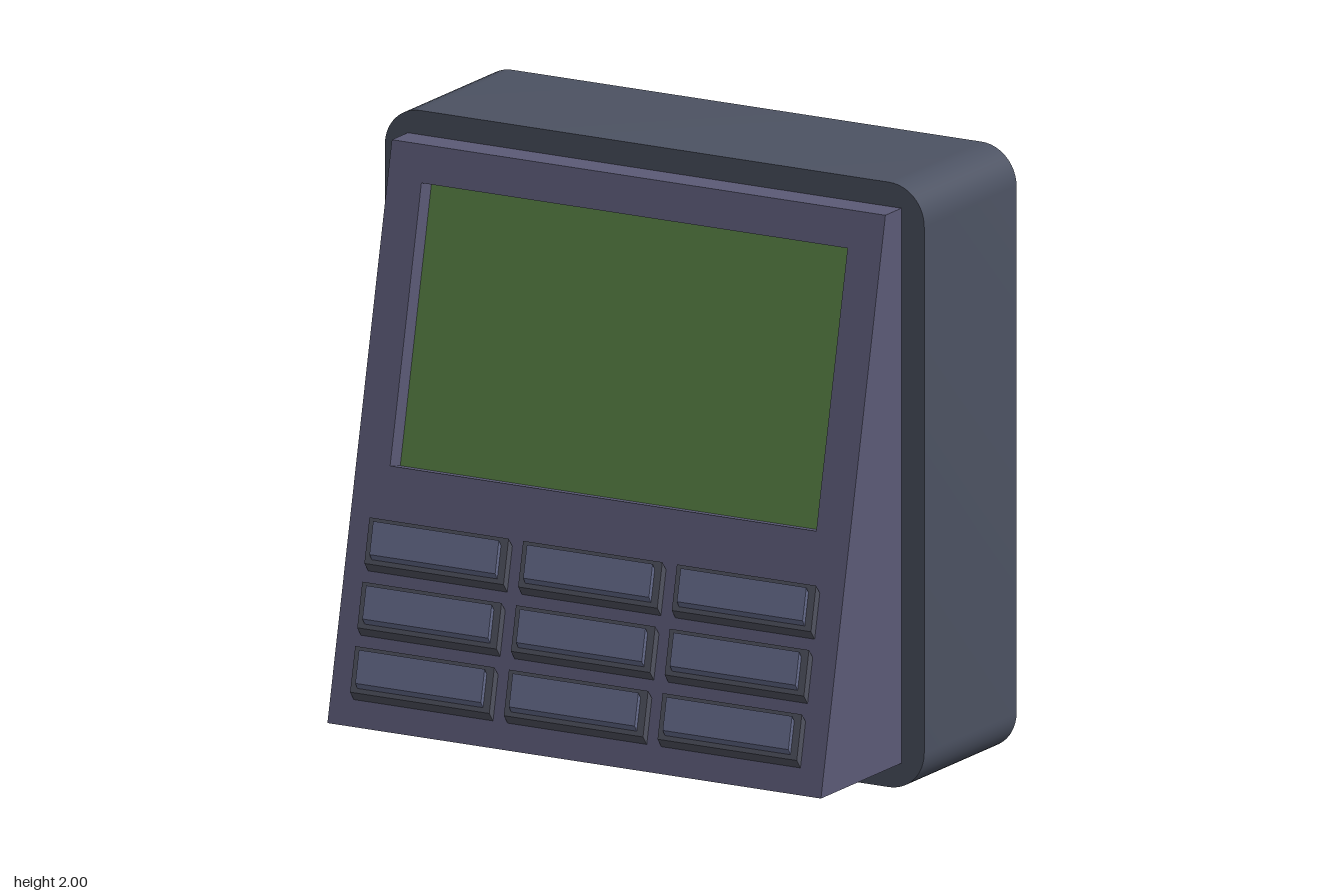
import * as THREE from 'three';
import { toCreasedNormals } from 'three/addons/utils/BufferGeometryUtils.js';

const paint = (color) => new THREE.MeshStandardMaterial({ color, side: THREE.DoubleSide });
const shellMat = paint(0x4c5262);
const panelMat = paint(0x5b5a76);
const baseMat = paint(0x50525f);
const capMat = paint(0x656b8b);
const screenMat = paint(0x557d42);

const RING_Z = 0.03;
const BOTTOM = 0.085, TOP = 1.92, HALF = 0.915;

// Depth of the sloping front panel at height y
const slopeZ = (y) => 0.535 - (0.405 * (y - BOTTOM)) / (TOP - BOTTOM);

// Counter-clockwise rectangle, parallel to the panel and offset from it in z
function rect(cx, hw, y0, y1, offset = 0) {
  return [[cx - hw, y0], [cx + hw, y0], [cx + hw, y1], [cx - hw, y1]]
    .map(([x, y]) => new THREE.Vector3(x, y, slopeZ(y) + offset));
}

// Walls joining successive closed loops, listed back to front; optional flat end
function loft(loops, capEnd = false) {
  const pos = [];
  const tri = (...pts) => pts.forEach((p) => pos.push(p.x, p.y, p.z));
  for (let k = 0; k + 1 < loops.length; k++) {
    const a = loops[k], b = loops[k + 1], n = a.length;
    for (let i = 0; i < n; i++) {
      const j = (i + 1) % n;
      tri(a[i], a[j], b[j]);
      tri(a[i], b[j], b[i]);
    }
  }
  if (capEnd) {
    const e = loops[loops.length - 1];
    for (let i = 1; i + 1 < e.length; i++) tri(e[0], e[i], e[i + 1]);
  }
  const geo = new THREE.BufferGeometry();
  geo.setAttribute('position', new THREE.Float32BufferAttribute(pos, 3));
  return toCreasedNormals(geo, 0.5);
}

// Flat shape with rectangular holes
const flat = (loop) => loop.map((p) => new THREE.Vector2(p.x, p.y));
function sheet(outline, holes) {
  const shape = new THREE.Shape(flat(outline));
  holes.forEach((h) => shape.holes.push(new THREE.Path(flat(h))));
  return new THREE.ShapeGeometry(shape);
}

// Rounded square outline of the housing at depth z
function housingLoop(z, r = 0.13, steps = 12) {
  const pts = [];
  [[1, 0], [1, 1], [-1, 1], [-1, 0]].forEach(([sx, top], q) => {
    const cx = sx * (1 - r), cy = top ? 2 - r : r;
    for (let i = 0; i <= steps; i++) {
      const t = (q - 1 + i / steps) * Math.PI / 2;
      pts.push(new THREE.Vector3(cx + r * Math.cos(t), cy + r * Math.sin(t), z));
    }
  });
  return pts;
}

export function createModel() {
  const model = new THREE.Group();
  const add = (name, geometry, material, parent = model) => {
    const mesh = new THREE.Mesh(geometry, material);
    mesh.name = name;
    parent.add(mesh);
  };

  const face = rect(0, HALF, BOTTOM, TOP);
  const faceBack = face.map((p) => new THREE.Vector3(p.x, p.y, RING_Z));

  // Hollow housing, open at the back, with a flat front rim
  add('housing', loft([housingLoop(-0.55), housingLoop(RING_Z)]), shellMat);
  const rim = sheet(housingLoop(0), [faceBack]);
  rim.translate(0, 0, RING_Z);
  add('frontRim', rim, shellMat);

  // Wedge walls carrying the sloping panel
  add('wedgeWalls', loft([faceBack, face]), panelMat);

  // Screen sunk into the panel, square to its slope
  const screenHole = rect(0, 0.79, 0.91, 1.80);
  const screenLoop = rect(0, 0.79, 0.896, 1.786, -0.067);
  add('screenRecess', loft([screenLoop, screenHole]), panelMat);
  add('screen', loft([screenLoop], true), screenMat);

  // Three by three stepped keys, hollow behind, pushed out and upward
  const keys = new THREE.Group();
  keys.name = 'keypad';
  model.add(keys);
  const holes = [screenHole];
  for (let row = 0; row < 3; row++) {
    for (let col = -1; col <= 1; col++) {
      const x = col * 0.57, y = 0.575 - row * 0.2025;
      const hole = rect(x, 0.258, y, y + 0.145);
      const capFoot = rect(x, 0.233, y + 0.045, y + 0.15, 0.03);
      holes.push(hole);
      add('keyBase', loft([hole, rect(x, 0.258, y + 0.03, y + 0.175, 0.03), capFoot]), baseMat, keys);
      add('keyCap', loft([capFoot, rect(x, 0.233, y + 0.065, y + 0.17, 0.048)], true), capMat, keys);
    }
  }

  // Sloping panel with openings for the screen and keys
  const panel = sheet(face, holes);
  const p = panel.attributes.position;
  for (let i = 0; i < p.count; i++) p.setZ(i, slopeZ(p.getY(i)));
  panel.computeVertexNormals();
  add('frontPanel', panel, panelMat);

  return model;
}
